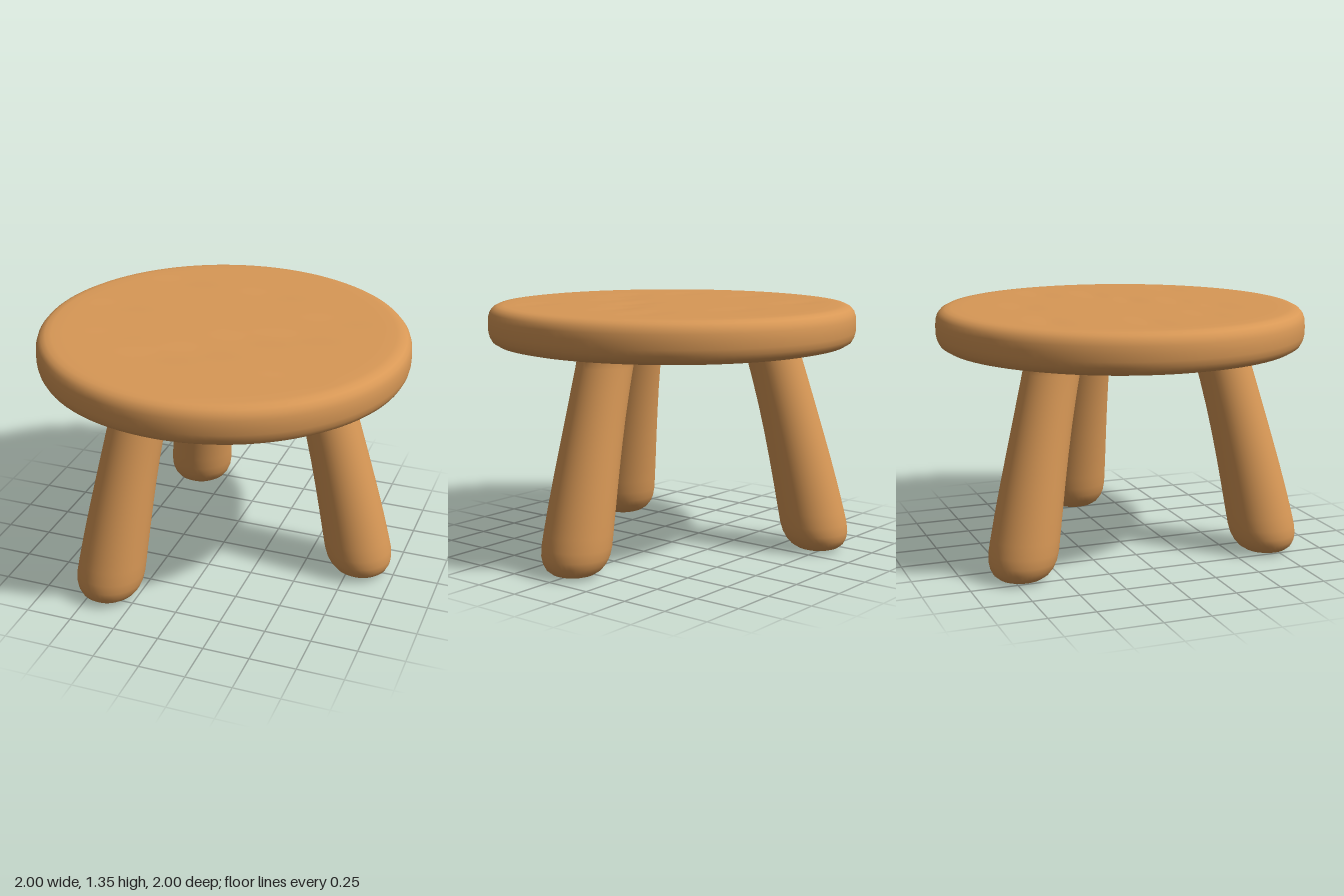
import * as THREE from 'three';

const v2 = (pts) => pts.map(([x, y]) => new THREE.Vector2(x, y));

export function createModel() {
  const stool = new THREE.Group();
  stool.name = 'stool';
  const wood = new THREE.MeshStandardMaterial({ color: 0xd89856 });
  wood.name = 'warm wood';

  // Seat: round slab with softened rims, tighter on top than below
  const profile = [[0, 1.12], [0.5, 1.12], [0.83, 1.122], [0.9, 1.127], [0.95, 1.138], [0.978, 1.155],
    [0.992, 1.18], [0.999, 1.21], [1, 1.25], [0.998, 1.285], [0.989, 1.313], [0.972, 1.333], [0.948, 1.345], [0.915, 1.349]];
  for (let i = 17; i >= 0; i--) profile.push([0.05 * i, 1.35]);
  const seatGeo = new THREE.LatheGeometry(v2(profile), 96);

  // Shallow hand-carved dents in the seat's top: x, z, depth
  const dents = [[-0.45, -0.55, 0.005], [0.1, -0.52, 0.004], [0.42, 0, 0.005], [0.18, 0.12, 0.005], [0, 0.35, 0.005],
    [-0.2, 0.48, 0.005], [0.55, -0.28, 0.004], [-0.65, -0.08, 0.004], [0.55, 0.5, 0.003], [-0.5, 0.3, 0.003]];
  const p = seatGeo.attributes.position;
  for (let i = 0; i < p.count; i++) {
    if (p.getY(i) < 1.3495) continue;
    const x = p.getX(i), z = p.getZ(i);
    let y = p.getY(i);
    for (const [dx, dz, depth] of dents) {
      y -= depth * Math.exp(-(((x - dx) / 0.16) ** 2) - ((z - dz) / 0.07) ** 2);
    }
    p.setY(i, y);
  }
  // Recompute normals, then keep the closing seam and both centres smooth
  seatGeo.computeVertexNormals();
  const n = seatGeo.attributes.normal, rows = profile.length, last = 96 * rows;
  for (let j = 0; j < rows; j++) {
    const a = new THREE.Vector3().fromBufferAttribute(n, j);
    a.add(new THREE.Vector3().fromBufferAttribute(n, last + j)).normalize();
    n.setXYZ(j, a.x, a.y, a.z);
    n.setXYZ(last + j, a.x, a.y, a.z);
  }
  for (let s = 0; s <= 96; s++) {
    n.setXYZ(s * rows, 0, -1, 0);
    n.setXYZ(s * rows + rows - 1, 0, 1, 0);
  }
  const seat = new THREE.Mesh(seatGeo, wood);
  seat.name = 'seat';
  stool.add(seat);

  // Leg: tapered, rounded foot, slight flare where it meets the seat
  const legProfile = v2([[0, 0], [0.05, 0], [0.085, 0.003], [0.115, 0.013], [0.145, 0.034], [0.166, 0.065], [0.178, 0.1],
    [0.183, 0.15], [0.181, 0.22], [0.176, 0.35], [0.169, 0.5], [0.162, 0.65], [0.156, 0.8], [0.152, 0.95],
    [0.15, 1.06], [0.151, 1.1], [0.158, 1.118], [0.158, 1.14]]);
  // Outward offset of the leg's centre line at each height
  const lean = (y) => 0.82 - 0.19 * y - 0.05 * y * y;
  const makeLeg = (name, angle) => {
    const geo = new THREE.LatheGeometry(legProfile, 40);
    const pos = geo.attributes.position, nor = geo.attributes.normal;
    const nv = new THREE.Vector3();
    for (let i = 0; i < pos.count; i++) {
      const y = pos.getY(i);
      pos.setX(i, pos.getX(i) + lean(y));
      // Normals follow the lean
      nv.fromBufferAttribute(nor, i);
      nv.y += (0.19 + 0.1 * y) * nv.x;
      nv.normalize();
      nor.setXYZ(i, nv.x, nv.y, nv.z);
    }
    const leg = new THREE.Mesh(geo, wood);
    leg.name = name;
    leg.rotation.y = angle;
    stool.add(leg);
  };
  makeLeg('leftLeg', 0);
  makeLeg('backRightLeg', (Math.PI * 2) / 3);
  makeLeg('frontRightLeg', (-Math.PI * 2) / 3);

  return stool;
}
